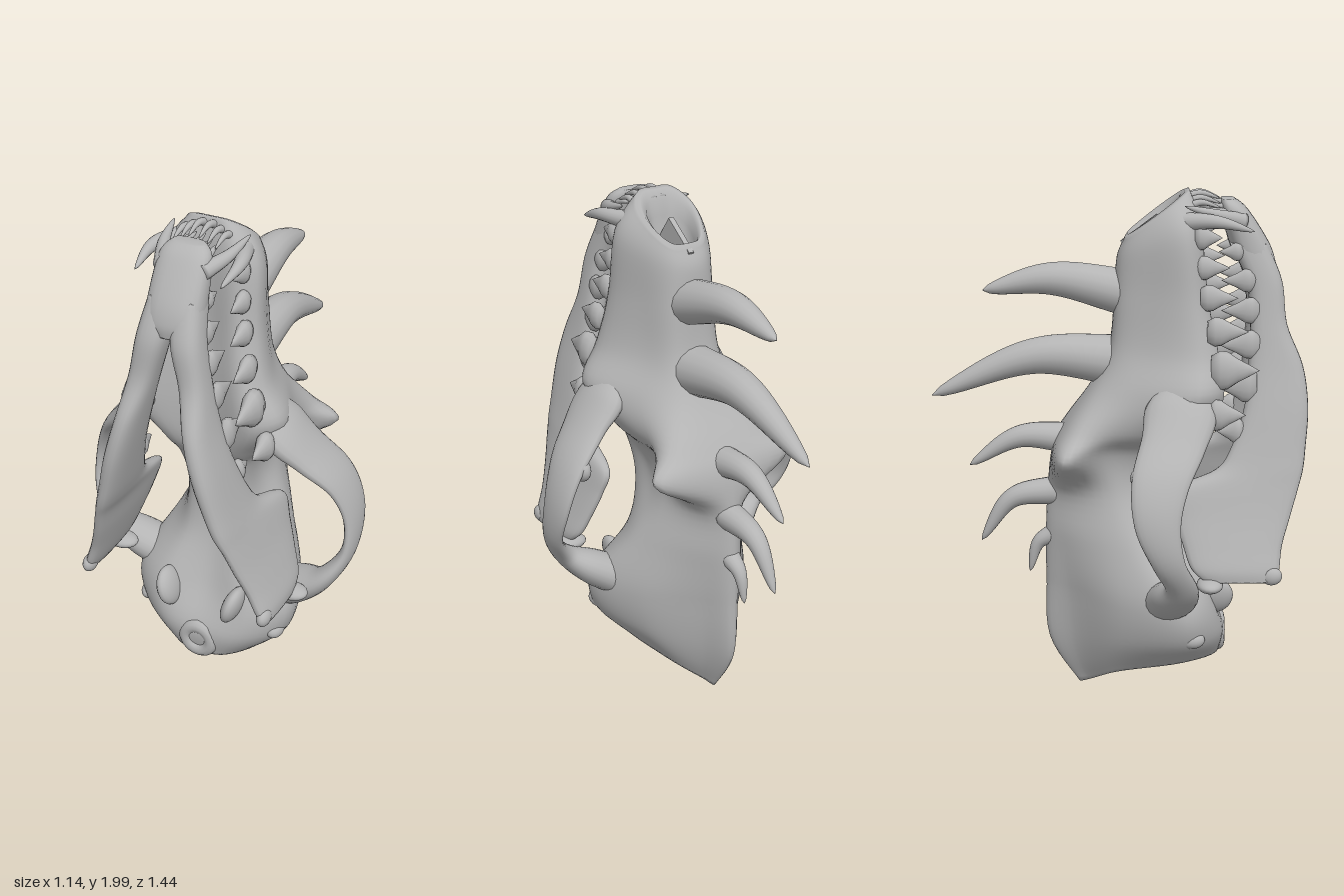
import * as THREE from 'three';

const V = (x, y, z) => new THREE.Vector3(x, y, z);
const bone = new THREE.MeshStandardMaterial({ color: 0xb4b4b4 });
bone.name = 'bone grey';

// Catmull-Rom interpolation of rows of numbers
function smooth(rows, n) {
  const out = [];
  const last = rows.length - 1;
  for (let i = 0; i < last; i++) {
    const [a, b, c, d] = [rows[Math.max(i - 1, 0)], rows[i], rows[i + 1], rows[Math.min(i + 2, last)]];
    for (let k = 0; k < n; k++) {
      const t = k / n;
      out.push(b.map((p, j) => {
        const cubic = 3 * (p - c[j]) + d[j] - a[j];
        const square = 2 * a[j] - 5 * p + 4 * c[j] - d[j];
        return p + 0.5 * t * (c[j] - a[j] + t * (square + t * cubic));
      }));
    }
  }
  out.push(rows[last]);
  return out;
}

// Closed skin over rings of points, always wound outwards
function loft(rings) {
  const n = rings[0].length, pos = [], idx = [];
  rings.forEach(r => r.forEach(p => pos.push(p.x, p.y, p.z)));
  for (let i = 0; i < rings.length - 1; i++) {
    for (let j = 0; j < n; j++) {
      const a = i * n + j, b = i * n + (j + 1) % n;
      idx.push(a, b, a + n, b, b + n, a + n);
    }
  }
  [0, rings.length - 1].forEach((r, end) => {
    const c = rings[r].reduce((s, p) => s.add(p), V(0, 0, 0)).divideScalar(n);
    const ci = pos.length / 3;
    pos.push(c.x, c.y, c.z);
    for (let j = 0; j < n; j++) {
      const a = r * n + j, b = r * n + (j + 1) % n;
      if (end) idx.push(a, b, ci); else idx.push(b, a, ci);
    }
  });
  let volume = 0;
  const at = i => V(pos[3 * i], pos[3 * i + 1], pos[3 * i + 2]);
  for (let i = 0; i < idx.length; i += 3) volume += at(idx[i]).dot(at(idx[i + 1]).cross(at(idx[i + 2])));
  if (volume < 0) idx.reverse();
  const g = new THREE.BufferGeometry();
  g.setAttribute('position', new THREE.Float32BufferAttribute(pos, 3));
  g.setIndex(idx);
  g.computeVertexNormals();
  return g;
}

// Elliptical sweep: rows are x, y, z, half size across, half size along axis u
function sweep(rows, u, sides = 16) {
  return loft(rows.map((r, i) => {
    const p = V(r[0], r[1], r[2]);
    const t = V(...rows[Math.min(i + 1, rows.length - 1)]).sub(V(...rows[Math.max(i - 1, 0)])).normalize();
    const n = t.clone().cross(u).normalize(), m = n.clone().cross(t);
    return Array.from({ length: sides }, (_, j) => {
      const a = j / sides * Math.PI * 2;
      return p.clone().addScaledVector(n, r[3] * Math.cos(a)).addScaledVector(m, r[4] * Math.sin(a));
    });
  }));
}

// Tapered curved spike through points
function spike(points, r, wide = 1, power = 0.65) {
  const c = new THREE.CatmullRomCurve3(points.map(p => V(...p)));
  const rows = c.getPoints(20).map((p, i) => {
    const q = r * Math.pow(1 - i / 20, power) + 0.001;
    return [p.x, p.y, p.z, q, q * wide];
  });
  return sweep(rows, V(1, 0, 0));
}

// Upright slab: rows are y, centre x, half thickness, inner z, outer z
function slab(rows) {
  const soft = v => Math.sign(v) * Math.pow(Math.abs(v), .8);
  return loft(smooth(rows, 6).map(([y, cx, w, a, b]) => Array.from({ length: 24 }, (_, j) => {
    const t = j / 12 * Math.PI;
    return V(cx + w * soft(Math.cos(t)), y, (a + b) / 2 + (b - a) / 2 * soft(Math.sin(t)));
  })));
}

export function createModel() {
  const model = new THREE.Group();
  const add = (name, geo) => {
    const m = new THREE.Mesh(geo, bone);
    m.name = name;
    model.add(m);
    return m;
  };
  const blob = (name, x, y, z, a, b, c) => {
    const m = add(name, new THREE.SphereGeometry(1, 20, 14));
    m.position.set(x, y, z);
    m.scale.set(a, b, c);
    return m;
  };

  // Cranium: y, tilt, then half outline from the crest (z) round the side (x, z) to the palate (z)
  const sections = [
    [1.79, .75, .03, .07, .04, .115, .11, .12, .20, .07, .265, .27],
    [1.74, .40, .00, .08, .02, .15, .12, .185, .25, .12, .31, .30],
    [1.60, 0, -.01, .09, .01, .155, .12, .20, .28, .14, .34, .31],
    [1.40, 0, -.03, .10, -.01, .17, .10, .24, .30, .18, .38, .33],
    [1.25, 0, -.10, .13, -.07, .23, .08, .31, .30, .22, .40, .34],
    [1.10, 0, -.20, .22, -.16, .22, .00, .23, .20, .15, .35, .33],
    [1.00, 0, -.25, .31, -.20, .17, -.04, .15, .15, .13, .28, .29],
    [.85, 0, -.27, .10, -.20, .15, -.02, .14, .10, .12, .24, .25],
    [.65, 0, -.28, .09, -.20, .21, .00, .23, .12, .13, .26, .26],
    [.45, 0, -.28, .09, -.18, .26, .02, .33, .25, .19, .36, .33],
    [.29, 0, -.27, .07, -.16, .23, .02, .31, .27, .18, .40, .42],
    [.17, 0, -.15, .03, -.11, .13, .00, .20, .26, .10, .39, .41],
  ];
  const clamp = v => Math.min(Math.max(v, 0), 1);
  const rings = smooth(sections, 6).map(([y, k, z0, ...s]) => {
    const half = [[s[0], s[1]], [s[2], s[3]], [s[4], s[5]], [s[6], s[7]]];
    const outline = [[0, z0], ...half, [0, s[8]], ...half.slice().reverse().map(([x, z]) => [-x, z])];
    // The crest corner hangs below the rest of the skull base
    const dip = z => .165 * clamp((.1 - z) / .24) * clamp((.42 - y) / .25);
    const curve = new THREE.CatmullRomCurve3(outline.map(([x, z]) => V(x, y + k * z - dip(z), z)), true);
    return curve.getPoints(60).slice(0, 60);
  });
  // Hollow nose at the top and dished back of the skull
  const inset = (ring, c, f, dy) => ring.map(p => p.clone().sub(c).multiplyScalar(f).add(c).add(V(0, dy, 0)));
  const nose = V(0, 1.8725, .11), nape = V(0, .17, .2);
  const end = rings[rings.length - 1];
  add('cranium', loft([
    inset(rings[0], nose, .5, -.2), inset(rings[0], nose, .66, -.06), inset(rings[0], nose, .74, -.01),
    inset(rings[0], nose, .88, .008), ...rings,
    inset(end, nape, .85, .01), inset(end, nape, .5, .04),
  ]));
  const septum = add('nasalSeptum', new THREE.BoxGeometry(.022, .16, .17));
  septum.position.set(0, 1.785, .13);
  septum.rotation.x = -.64;

  // Horns along the midline: base, middle and tip as y, z, then radius
  [[1.60, .05, 1.655, -.25, 1.61, -.51, .09],
    [1.34, .02, 1.355, -.32, 1.20, -.715, .1],
    [1.03, -.17, 1.035, -.38, .92, -.575, .062],
    [.82, -.23, .785, -.41, .61, -.535, .056],
    [.64, -.25, .60, -.31, .48, -.345, .038],
  ].forEach(([a, b, c, d, e, f, r]) => add('horn', spike([[0, a, b], [0, c, d], [0, e, f]], r, 1.05, .55)));

  // Pointed cheek tooth, turned to point along z
  const cusp = new THREE.LatheGeometry([[0, -.3], [.75, -.28], [1, -.05], [.95, .15], [.6, .42], [.3, .72], [0, 1]]
    .map(p => new THREE.Vector2(...p)), 14);
  const cheekTooth = (name, x, y, z, w, h, len, dir) => {
    const m = add(name, cusp);
    m.position.set(x, y, z);
    m.rotation.x = dir * Math.PI / 2;
    m.scale.set(w, len, h);
  };

  // Front of the jaw where both branches meet
  add('jawSymphysis', slab([
    [1.96, 0, .06, .39, .44], [1.92, 0, .095, .39, .49], [1.8, 0, .105, .42, .57],
    [1.72, 0, .10, .46, .60], [1.67, 0, .05, .49, .60],
  ]));

  // Rim around the opening at the base of the skull
  const rim = add('skullOpeningRim', new THREE.TorusGeometry(.055, .032, 12, 24));
  rim.position.set(0, .235, .4);

  for (const s of [1, -1]) {
    // Jaw branch with its joint and corner
    add('jawBranch', slab([
      [1.80, .05, .05, .42, .56], [1.66, .066, .058, .485, .62], [1.50, .10, .05, .50, .64],
      [1.35, .135, .046, .495, .70], [1.20, .175, .046, .48, .72], [1.05, .215, .043, .43, .71],
      [.97, .24, .04, .37, .70], [.90, .265, .036, .21, .68], [.80, .295, .036, .22, .65],
      [.70, .33, .036, .25, .62], [.62, .36, .034, .28, .61], [.575, .375, .022, .33, .60],
    ].map(([y, x, ...r]) => [y, x * s, ...r])));
    blob('jawCondyle', .37 * s, .56, .35, .07, .028, .05);
    blob('jawAngle', .372 * s, .595, .58, .026, .035, .04);

    // Cheek arch
    const arch = [
      [.19, 1.33, .25, .03, .05], [.27, 1.21, .24, .06, .13], [.37, 1.11, .21, .042, .12], [.48, .99, .16, .03, .105],
      [.535, .85, .15, .026, .085], [.535, .70, .19, .026, .06], [.46, .58, .24, .04, .06],
      [.35, .50, .22, .07, .09], [.22, .43, .18, .08, .09],
    ].map(([x, ...r]) => [x * s, ...r]);
    add('cheekArch', sweep(smooth(arch, 6), V(0, 0, 1), 20));
    blob('cheekProcess', .45 * s, 1.0, .11, .035, .05, .06);

    // Ear and nape bumps
    blob('earBulla', .14 * s, .43, .38, .036, .08, .075).rotation.z = -s * .3;
    blob('napeProcess', .28 * s, .3, .29, .035, .035, .05);

    // Canines
    add('upperCanine', spike([[.12 * s, 1.885, .24], [.17 * s, 1.89, .37], [.165 * s, 1.855, .505]], .036));
    add('lowerCanine', spike([[.075 * s, 1.88, .47], [.125 * s, 1.91, .37], [.15 * s, 1.945, .25]], .032));

    // Incisors
    [.02, .052, .082].forEach((x, i) => {
      const y = 1.975 - i * .014, u = x * s, l = x * .85 * s;
      add('upperIncisor', spike([[u, y - .025, .24], [u, y + .005, .31], [u, y - .015, .385]], .017));
      add('lowerIncisor', spike([[l, y - .045, .44], [l, y - .025, .38], [l, y - .02, .33]], .014));
    });

    // Cheek teeth: x, y, root z, half width, half height, length
    [[.15, 1.83, .31, .026, .045, .08], [.155, 1.72, .32, .026, .045, .10], [.17, 1.61, .34, .028, .05, .11],
      [.20, 1.49, .37, .03, .055, .12], [.23, 1.35, .39, .04, .075, .14], [.27, 1.19, .37, .035, .06, .11],
    ].forEach(([x, ...r]) => cheekTooth('upperCheekTooth', x * s, ...r, 1));
    [[.085, 1.77, .45, .022, .035, .07], [.10, 1.665, .49, .024, .045, .10], [.12, 1.555, .50, .024, .05, .11],
      [.14, 1.43, .50, .026, .055, .12], [.175, 1.28, .49, .03, .065, .12], [.20, 1.11, .455, .028, .05, .08],
    ].forEach(([x, ...r]) => cheekTooth('lowerCheekTooth', x * s, ...r, -1));
  }
  return model;
}
